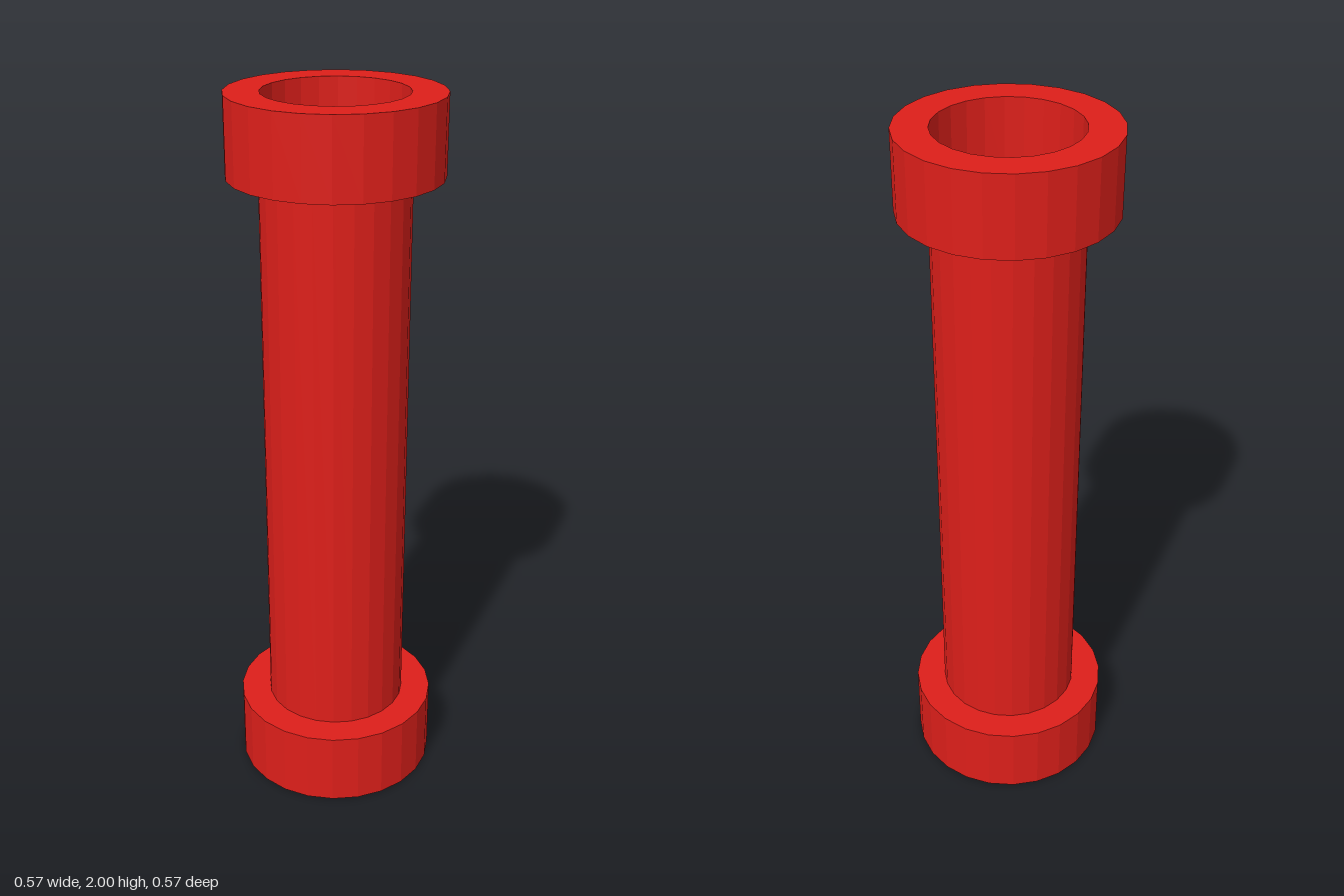
import * as THREE from 'three';

const SIDES = 24;
const BORE = 0.192;    // inner radius, open from end to end
const SHAFT = 0.2;     // outer radius of the pipe
const COLLAR = 0.285;  // outer radius of the end collars
const HEIGHT = 2;
const COLLAR_HEIGHT = 0.213;

export function createModel() {
  const model = new THREE.Group();
  model.name = 'pipe';
  const red = new THREE.MeshStandardMaterial({ color: 0xdd1f1a, flatShading: true });

  // Hollow faceted ring between two heights: outer wall, top, bore, underside
  function addRing(name, radius, y0, y1) {
    const profile = [[BORE, y0], [radius, y0], [radius, y1], [BORE, y1], [BORE, y0]]
      .map(([r, y]) => new THREE.Vector2(r, y));
    const ring = new THREE.Mesh(new THREE.LatheGeometry(profile, SIDES), red);
    ring.name = name;
    model.add(ring);
  }

  // Collars at both ends, with the thin-walled shaft between them
  addRing('lowerCollar', COLLAR, 0, COLLAR_HEIGHT);
  addRing('shaft', SHAFT, COLLAR_HEIGHT, HEIGHT - COLLAR_HEIGHT);
  addRing('upperCollar', COLLAR, HEIGHT - COLLAR_HEIGHT, HEIGHT);

  return model;
}
